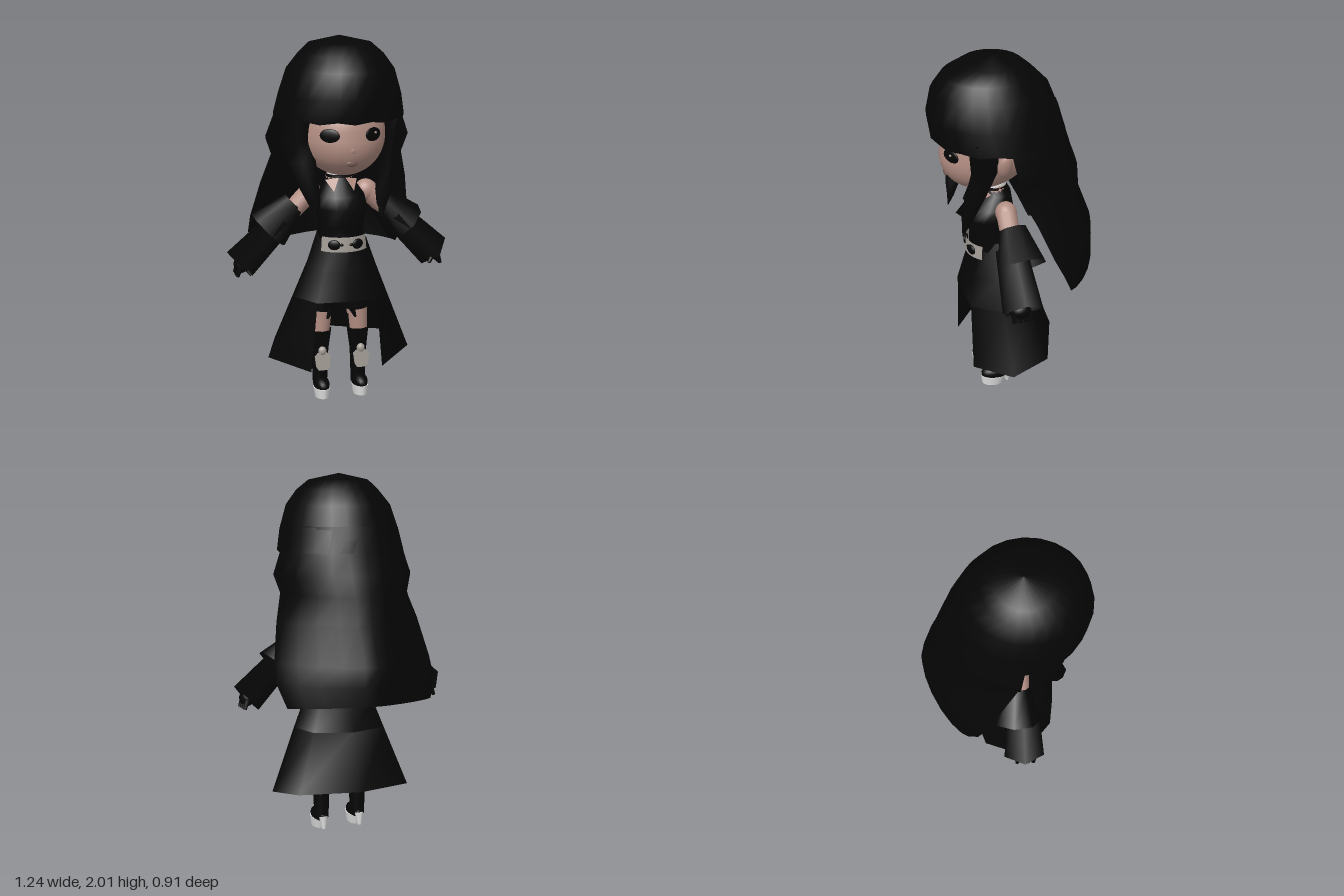
import * as THREE from 'three';

const mat = (name, color, side = THREE.FrontSide) => {
  const m = new THREE.MeshStandardMaterial({ color, side });
  m.name = name;
  return m;
};
const black = mat('black', 0x050505, THREE.DoubleSide);
const skin = mat('skin', 0xb48f84, THREE.DoubleSide);
const white = mat('white', 0xe2e2e2);
const grey = mat('grey', 0xa19b93, THREE.DoubleSide);
const lip = mat('lip', 0x765b55);
const V = (x, y, z) => new THREE.Vector3(x, y, z);

export function createModel() {
  const model = new THREE.Group();
  const add = (name, geo, material, pos = [0, 0, 0], scale = [1, 1, 1]) => {
    const m = new THREE.Mesh(geo, material);
    m.name = name;
    m.position.set(...pos);
    m.scale.set(...scale);
    model.add(m);
    return m;
  };
  const ball = (name, material, pos, radii) => add(name, new THREE.SphereGeometry(1, 20, 14), material, pos, radii);
  // Tapered tube from point a to point b
  const limb = (name, material, a, b, ra, rb, sides = 12, open = false, zScale = 1) => {
    const d = b.clone().sub(a);
    const m = add(name, new THREE.CylinderGeometry(rb, ra, d.length(), sides, 1, open), material);
    m.position.copy(a).addScaledVector(d, 0.5);
    m.quaternion.setFromUnitVectors(V(0, 1, 0), d.normalize());
    m.scale.z = zScale;
    return m;
  };
  // Surface through rows of equal point count
  const loft = (rows, closed) => {
    const n = rows[0].length, index = [];
    for (let r = 0; r < rows.length - 1; r++) {
      for (let i = 0; i < (closed ? n : n - 1); i++) {
        const a = r * n + i, b = r * n + (i + 1) % n;
        index.push(a, a + n, b, b, a + n, b + n);
      }
    }
    const g = new THREE.BufferGeometry().setFromPoints(rows.flat());
    g.setIndex(index);
    g.computeVertexNormals();
    return g;
  };
  const ring = ([y, rx, zf, zb], n = 16) => Array.from({ length: n }, (_, i) => {
    const a = i / n * Math.PI * 2;
    return V(rx * Math.sin(a), y, (zf + zb) / 2 + (zf - zb) / 2 * Math.cos(a));
  });
  // Half row from front to back centre, completed by mirroring
  const mirrored = (pts) => {
    const half = pts.map((p) => V(...p));
    const other = half.slice(0, -1).reverse().filter((p) => p.x > 0).map((p) => V(-p.x, p.y, p.z));
    return [...half, ...other];
  };

  // Head, rounded above and drawn forward at the chin
  const head = new THREE.SphereGeometry(1, 36, 26).scale(0.235, 0.23, 0.26).translate(0, 1.5, 0.13);
  const hp = head.attributes.position;
  for (let i = 0; i < hp.count; i++) {
    const t = Math.max(0, (1.5 - hp.getY(i)) / 0.23);
    hp.setZ(i, hp.getZ(i) + 0.05 * t);
  }
  head.computeVertexNormals();
  add('head', head, skin);
  ball('nose', skin, [0, 1.435, 0.381], [0.022, 0.024, 0.014]);
  ball('mouth', lip, [0, 1.362, 0.368], [0.03, 0.016, 0.008]);
  for (const s of [-1, 1]) {
    ball('eye', black, [s * 0.115, 1.51, 0.357], [0.054, 0.036, 0.011]).rotation.y = s * 0.54;
    ball('eyeGlint', grey, [s * 0.115 + 0.012, 1.52, 0.364], [0.007, 0.006, 0.006]).rotation.y = s * 0.54;
    ball('ear', skin, [s * 0.268, 1.49, 0.11], [0.03, 0.075, 0.04]).rotation.z = -s * 0.35;
  }

  // Hair cap with a ragged fringe
  const cap = [[2.0, 0.001, 0.101, 0.099], [1.965, 0.165, 0.27, -0.05], [1.91, 0.225, 0.37, -0.115],
    [1.83, 0.285, 0.428, -0.192], [1.7, 0.325, 0.456, -0.245], [1.572, 0.35, 0.437, -0.28]].map((r) => ring(r, 24));
  cap[5].forEach((p, i) => { if (i % 2) p.y += 0.012; });
  add('hairCap', loft(cap, true), black);

  // Long back hair: edge height, back height, half width, edge z, back z, squareness
  const backHair = [[1.72, 1.72, 0.315, 0.1, -0.24, 1], [1.575, 1.575, 0.35, 0.09, -0.282, 1],
    [1.46, 1.46, 0.395, 0.07, -0.32, 1.1], [1.36, 1.36, 0.36, 0.06, -0.357, 1.1], [1.21, 1.21, 0.41, -0.02, -0.37, 1.25],
    [1.0, 1.0, 0.455, -0.11, -0.45, 1.4], [0.9, 0.9, 0.46, -0.16, -0.455, 1.4], [0.775, 0.8, 0.42, -0.215, -0.455, 1.4]];
  add('backHair', loft(backHair.map(([ye, yb, x, ze, zb, e]) => mirrored(
    Array.from({ length: 7 }, (_, i) => {
      const a = i / 6 * Math.PI / 2, k = Math.sin(a) ** e;
      return [i === 6 ? 0 : x * Math.cos(a) ** e, ye + (yb - ye) * k, ze + (zb - ze) * k];
    }))), false), black);

  // Pointed locks in front of the ears: x, y, z, half width, half depth
  const lock = (name, s, rows) => add(name, loft(rows.map(([x, y, z, w, d]) => Array.from({ length: 6 }, (_, i) =>
    V(s * x + w * Math.sin(i * Math.PI / 3), y, z + d * Math.cos(i * Math.PI / 3)))), true), black);
  lock('leftLock', 1, [[0.265, 1.64, 0.22, 0.04, 0.08], [0.242, 1.46, 0.21, 0.024, 0.072],
    [0.21, 1.3, 0.255, 0.038, 0.058], [0.195, 1.2, 0.285, 0.045, 0.042], [0.182, 1.13, 0.302, 0.03, 0.022],
    [0.18, 1.06, 0.32, 0.002, 0.002]]);
  lock('rightLock', -1, [[0.265, 1.64, 0.22, 0.065, 0.09], [0.26, 1.47, 0.195, 0.09, 0.09],
    [0.24, 1.36, 0.225, 0.085, 0.08], [0.2, 1.2, 0.285, 0.05, 0.042], [0.182, 1.13, 0.302, 0.03, 0.022],
    [0.18, 1.06, 0.32, 0.002, 0.002]]);

  // Neck and chokers
  limb('neck', skin, V(0, 1.16, 0.09), V(0, 1.32, 0.1), 0.1, 0.05, 18, false, 0.85);
  limb('whiteChoker', white, V(0, 1.262, 0.1), V(0, 1.282, 0.1), 0.067, 0.065, 20);
  limb('blackChoker', black, V(0, 1.247, 0.1), V(0, 1.261, 0.1), 0.072, 0.07, 20);

  // High-necked bodice with triangular cut-outs
  add('bodice', loft([[1.25, 0.07, 0.155, 0.03], [1.215, 0.09, 0.17, 0.01], [1.15, 0.135, 0.235, 0], [1.09, 0.145, 0.28, 0],
    [0.98, 0.125, 0.24, 0], [0.88, 0.13, 0.245, 0]].map((r) => ring(r)), true), black);
  for (const s of [-1, 1]) {
    const corners = [V(s * 0.018, 1.248, 0.166), V(s * 0.055, 1.182, 0.208), V(s * 0.088, 1.235, 0.14)];
    const cut = new THREE.BufferGeometry().setFromPoints(s > 0 ? corners : corners.reverse());
    cut.computeVertexNormals();
    add('neckCutout', cut, skin);
  }

  // Studded belt
  add('belt', loft([[0.94, 0.145, 0.258, -0.005], [0.86, 0.152, 0.266, -0.01]].map((r) => {
    const pts = ring(r, 32);
    return [...pts.slice(27), ...pts.slice(0, 6)];
  }), false), grey);
  for (const s of [-1, 1]) {
    ball('beltDisc', black, [s * 0.065, 0.9, 0.25], [0.034, 0.028, 0.012]).rotation.y = s * 0.4;
    ball('beltStud', black, [s * 0.028, 0.9, 0.26], [0.012, 0.008, 0.006]);
  }

  // Skirt, open at the front below the thighs
  const skirtRow = (y, pts) => mirrored(pts.map(([x, z]) => [x, y, z]));
  const low = [[0.165, 0.28], [0.262, 0.13], [0.21, -0.05], [0, -0.12]];
  add('upperSkirt', loft([
    skirtRow(0.95, [[0, 0.23], [0.08, 0.2], [0.13, 0.12], [0.1, 0.03], [0, 0]]),
    skirtRow(0.75, [[0, 0.27], [0.12, 0.25], [0.2, 0.13], [0.155, -0.01], [0, -0.06]]),
    skirtRow(0.59, [[0, 0.29], ...low])], true), black);
  add('lowerSkirt', loft([skirtRow(0.59, low),
    mirrored([[0.2, 0.2, 0.28], [0.403, 0.24, 0.1], [0.325, 0.268, -0.12], [0, 0.28, -0.23]])], false), black);

  // Arms and legs
  for (const s of [-1, 1]) {
    const P = (x, y, z) => V(s * x, y, z);
    ball('shoulder', skin, [s * 0.155, 1.155, 0.075], [0.062, 0.062, 0.058]);
    limb('upperArm', skin, P(0.16, 1.16, 0.075), P(0.32, 1.0, 0.08), 0.056, 0.05);
    limb('sleeveRuffle', black, P(0.24, 1.1, 0.06), P(0.385, 0.955, 0.05), 0.07, 0.125, 8, true, 1.1);
    limb('sleeve', black, P(0.31, 1.02, 0.09), P(0.55, 0.785, 0.09), 0.075, 0.098, 4, true, 1.12);
    limb('wrist', black, P(0.45, 0.88, 0.09), P(0.55, 0.78, 0.09), 0.04, 0.035);
    ball('hand', black, [s * 0.545, 0.785, 0.1], [0.04, 0.045, 0.055]);
    for (let i = 0; i < 4; i++) {
      limb('finger', black, P(0.555, 0.78, 0.055 + i * 0.03), P(0.572, 0.73, 0.05 + i * 0.03), 0.015, 0.011, 6);
    }
    limb('thumb', black, P(0.53, 0.78, 0.14), P(0.5, 0.74, 0.165), 0.014, 0.009, 6);

    // Bare knee in front, dark stocking behind
    limb('leg', skin, P(0.092, 0.66, 0.1), P(0.11, 0.34, 0.1), 0.068, 0.05, 16);
    limb('garter', black, P(0.094, 0.568, 0.1), P(0.098, 0.5, 0.1), 0.07, 0.067, 16);
    limb('stocking', black, P(0.102, 0.465, 0.086), P(0.11, 0.34, 0.086), 0.062, 0.055, 16);
    limb('garterStrap', black, P(0.06, 0.51, 0.152), P(0.08, 0.455, 0.156), 0.02, 0.006, 6);
    limb('bootShaft', black, P(0.11, 0.06, 0.1), P(0.11, 0.3, 0.1), 0.041, 0.05, 12);
    limb('bootCuff', black, P(0.11, 0.27, 0.1), P(0.108, 0.385, 0.1), 0.05, 0.064, 8, true);
    ball('bootFoot', black, [s * 0.11, 0.07, 0.135], [0.044, 0.045, 0.08]);

    // Shin plate hanging below a round stud
    const plate = new THREE.Shape([[-0.025, 0], [0.025, 0], [0.038, 0.02], [0.045, 0.08], [0.025, 0.098], [-0.025, 0.098],
      [-0.045, 0.08], [-0.038, 0.02]].map(([x, y]) => new THREE.Vector2(x, y)));
    const plateGeo = new THREE.ExtrudeGeometry(plate, { depth: 0.012, bevelEnabled: false });
    add('shinPlate', plateGeo, grey, [s * 0.11, 0.165, 0.172]).rotation.x = -0.12;
    ball('shinStud', grey, [s * 0.11, 0.272, 0.16], [0.023, 0.026, 0.02]);

    // Platform sole and heel
    limb('platform', white, P(0.11, 0, 0.15), P(0.11, 0.055, 0.145), 0.038, 0.046, 14, false, 1.6);
    limb('heel', white, P(0.11, 0, 0.06), P(0.11, 0.07, 0.07), 0.012, 0.026, 8);
  }
  return model;
}
